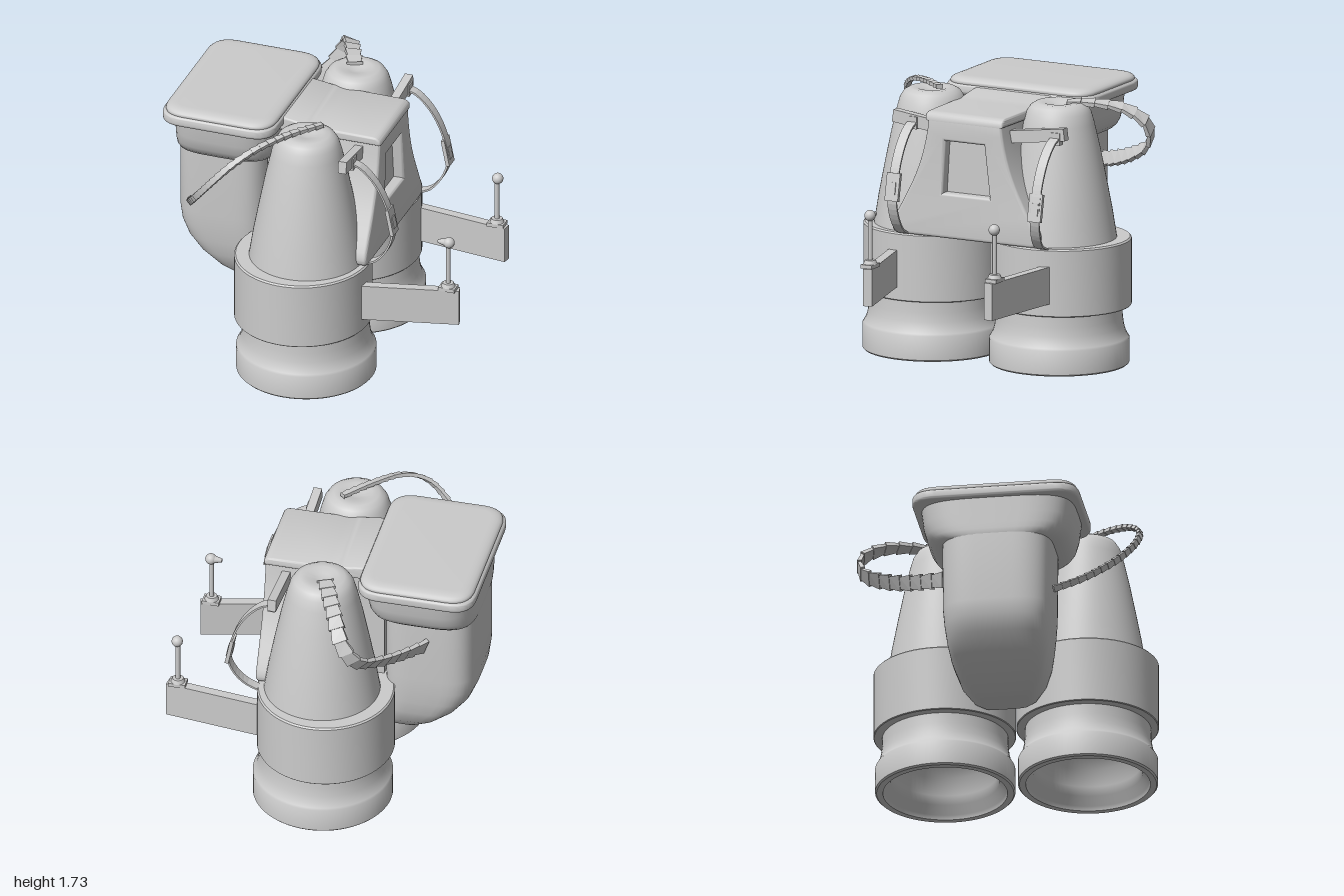
import * as THREE from 'three';
import { toCreasedNormals } from 'three/addons/utils/BufferGeometryUtils.js';

const grey = new THREE.MeshStandardMaterial({ color: 0xcccccc, side: THREE.DoubleSide });
const V = (a) => new THREE.Vector3(...a);

function add(parent, name, geo, pos = [0, 0, 0]) {
  const mesh = new THREE.Mesh(geo, grey);
  mesh.name = name;
  mesh.position.set(...pos);
  parent.add(mesh);
  return mesh;
}

const lathe = (pts, crease = 0.6) =>
  toCreasedNormals(new THREE.LatheGeometry(pts.map((p) => new THREE.Vector2(...p)), 64), crease);

// Extrusion whose final outline and depth (d0..d1) include the rounded bevel
function extrude(shape, d0, d1, bevel, bevelSize = bevel) {
  const geo = new THREE.ExtrudeGeometry(shape, {
    depth: d1 - d0 - 2 * bevel, bevelThickness: bevel, bevelSize,
    bevelOffset: -bevelSize, bevelSegments: 5, curveSegments: 12,
  });
  geo.translate(0, 0, d0 + bevel);
  return toCreasedNormals(geo, 0.7);
}

// Horizontal slab with rounded corners in plan
function slab(x0, x1, y0, y1, z0, z1, r, bevel, bevelSize) {
  const s = new THREE.Shape();
  s.moveTo(x0 + r, -z1);
  s.lineTo(x1 - r, -z1); s.quadraticCurveTo(x1, -z1, x1, -z1 + r);
  s.lineTo(x1, -z0 - r); s.quadraticCurveTo(x1, -z0, x1 - r, -z0);
  s.lineTo(x0 + r, -z0); s.quadraticCurveTo(x0, -z0, x0, -z0 - r);
  s.lineTo(x0, -z1 + r); s.quadraticCurveTo(x0, -z1, x0 + r, -z1);
  return extrude(s, y0, y1, bevel, bevelSize).rotateX(-Math.PI / 2);
}

// Rounded-rectangle sections [y, xMin, xMax, halfDepth] stacked upwards, closed at the bottom
function loft(sections, zMid, n = 56) {
  const pos = [];
  const index = [];
  const soft = (v) => Math.sign(v) * Math.sqrt(Math.abs(v));
  sections.forEach(([y, x0, x1, hz], i) => {
    for (let j = 0; j < n; j++) {
      const a = (j / n) * Math.PI * 2;
      pos.push((x0 + x1) / 2 + (x1 - x0) / 2 * soft(Math.cos(a)), y, zMid + hz * soft(Math.sin(a)));
      const k = (j + 1) % n;
      const [p, q] = [i * n + j, i * n + k];
      if (i < sections.length - 1) index.push(p, q + n, q, p, p + n, q + n);
      if (i === 0) index.push(sections.length * n, p, q);
    }
  });
  pos.push((sections[0][1] + sections[0][2]) / 2, sections[0][0], zMid);
  const geo = new THREE.BufferGeometry();
  geo.setAttribute('position', new THREE.Float32BufferAttribute(pos, 3));
  geo.setIndex(index);
  return toCreasedNormals(geo, 0.7);
}

// Flat band swept along a curve; the width direction turns from w0 to w1, ribs give a saw-tooth
function band(points, width, thick, w0, w1, ribs = 0) {
  const curve = new THREE.CatmullRomCurve3(points.map(V));
  const rings = [];
  const n = ribs || 24;
  for (let i = 0; i <= n; i++) {
    const t = i / n;
    const tan = curve.getTangentAt(t);
    const w = V(w0).lerp(V(w1), t);
    w.addScaledVector(tan, -w.dot(tan)).normalize();
    const up = new THREE.Vector3().crossVectors(tan, w);
    const c = curve.getPointAt(t);
    for (const k of ribs ? [1, 0.75] : [1]) {
      rings.push([[1, 1], [-1, 1], [-1, -1], [1, -1]].map(([a, b]) =>
        c.clone().addScaledVector(w, a * k * width / 2).addScaledVector(up, b * k * thick / 2)));
    }
  }
  const pos = [];
  const quad = (a, b, c, d) => [a, b, c, a, c, d].forEach((p) => pos.push(p.x, p.y, p.z));
  for (let i = 0; i < rings.length - 1; i++) {
    for (let j = 0; j < 4; j++) {
      const k = (j + 1) % 4;
      quad(rings[i][j], rings[i][k], rings[i + 1][k], rings[i + 1][j]);
    }
  }
  const [first, last] = [rings[0], rings[rings.length - 1]];
  quad(first[3], first[2], first[1], first[0]);
  quad(...last);
  const geo = new THREE.BufferGeometry();
  geo.setAttribute('position', new THREE.Float32BufferAttribute(pos, 3));
  geo.computeVertexNormals();
  return geo;
}

// Rocket: hollow nozzle, thick collar and tapered, dimpled cone
function thruster(z) {
  const g = new THREE.Group();
  g.name = 'thruster';
  g.position.set(-0.015, 0, z);
  add(g, 'nozzle', lathe([
    [0, 0.42], [0.15, 0.4], [0.25, 0.34], [0.31, 0.25], [0.335, 0.14], [0.345, 0.08], [0.39, 0.03], [0.395, 0],
    [0.435, 0], [0.445, 0.01], [0.445, 0.165], [0.437, 0.178], [0.422, 0.205], [0.41, 0.25], [0.402, 0.31], [0.4, 0.4],
  ]));
  add(g, 'collar', lathe([
    [0.38, 0.38], [0.448, 0.38], [0.453, 0.385], [0.453, 0.81], [0.443, 0.82], [0.34, 0.82],
  ]), [-0.02, 0, 0]).scale.x = 0.965;
  add(g, 'cone', lathe([
    [0.37, 0.81], [0.34, 1], [0.302, 1.2], [0.262, 1.4], [0.225, 1.56], [0.205, 1.63],
    [0.18, 1.67], [0.145, 1.69], [0.1, 1.69], [0.05, 1.675], [0, 1.665],
  ], 0.9), [0.005, 0, 0]);
  return g;
}

// Control arm with joystick, running from the collar to a free end
function controlArm(z0, z1, trigger) {
  const g = new THREE.Group();
  g.name = 'controlArm';
  const len = Math.hypot(0.62, z1 - z0);
  add(g, 'armPlate', new THREE.BoxGeometry(len, 0.24, 0.06), [0.68, 0.585, (z0 + z1) / 2])
    .rotation.y = -Math.atan2(z1 - z0, 0.62);
  const z = z0 + (z1 - z0) * 0.88;
  add(g, 'stickBase', new THREE.BoxGeometry(0.11, 0.025, 0.08), [0.92, 0.715, z]);
  add(g, 'stickCollar', new THREE.CylinderGeometry(0.035, 0.045, 0.025, 20), [0.92, 0.74, z]);
  add(g, 'stick', new THREE.CylinderGeometry(0.015, 0.015, 0.28, 16), [0.92, 0.88, z]);
  add(g, 'knob', new THREE.SphereGeometry(0.036, 24, 16), [0.925, 1.04, z]);
  if (trigger) {
    add(g, 'trigger', new THREE.CylinderGeometry(0.012, 0.028, 0.06, 12), [0.882, 1.04, z])
      .rotation.z = Math.PI / 2;
  }
  return g;
}

// Shoulder strap with crossbar, clip and buckle; s is +1 in front and -1 behind
function harness(s, z, zEnd, barZ) {
  const g = new THREE.Group();
  g.name = 'shoulderStrap';
  add(g, 'crossbar', new THREE.BoxGeometry(0.055, 0.08, 0.4), [0.27, 1.525, barZ]).rotation.x = -s * 0.13;
  add(g, 'clip', new THREE.BoxGeometry(0.05, 0.08, 0.07), [0.28, 1.52, z]);
  add(g, 'strap', band([
    [0.27, 1.53, z], [0.35, 1.5, z], [0.45, 1.4, z], [0.53, 1.24, z], [0.565, 1.06, z],
    [0.52, 0.93, (z + zEnd) / 2], [0.45, 0.85, zEnd], [0.38, 0.82, zEnd],
  ], 0.065, 0.012, [0, 0, 1], [0, 0, 1]));
  const buckle = new THREE.Group();
  buckle.name = 'buckle';
  buckle.position.set(0.552, 1.135 + s * 0.015, z);
  buckle.rotation.z = 0.2;
  add(buckle, 'bucklePlate', new THREE.BoxGeometry(0.024, 0.18, 0.095));
  add(buckle, 'buckleTongue', new THREE.BoxGeometry(0.036, 0.08, 0.05), [0, -0.01, 0]);
  g.add(buckle);
  return g;
}

export function createModel() {
  const model = new THREE.Group();
  model.name = 'jetpack';
  model.add(thruster(0.5), thruster(-0.415));

  // Fuel tank: narrow rounded belly under an overhanging head, with rim and padded lid
  add(model, 'tankBody', loft([
    [0.4, -0.53, -0.36, 0.15], [0.42, -0.59, -0.36, 0.2], [0.5, -0.71, -0.36, 0.27],
    [0.6, -0.83, -0.36, 0.31], [0.7, -0.91, -0.36, 0.33], [0.8, -0.952, -0.36, 0.342],
    [0.9, -0.965, -0.36, 0.35], [1.36, -0.965, -0.36, 0.355],
  ], 0.035));
  add(model, 'tankHead', loft([
    [1.345, -0.962, -0.31, 0.36], [1.36, -0.966, -0.3, 0.4], [1.39, -0.967, -0.28, 0.435],
    [1.43, -0.967, -0.265, 0.46], [1.5, -0.967, -0.255, 0.48], [1.63, -0.967, -0.25, 0.497],
  ], 0.035));
  add(model, 'tankRim', slab(-1, -0.235, 1.605, 1.672, -0.5, 0.57, 0.16, 0.02));
  add(model, 'tankLid', slab(-0.985, -0.245, 1.645, 1.713, -0.485, 0.555, 0.16, 0.033, 0.075));

  // Bridge between the cones with a top plate that sweeps up to the tank
  add(model, 'bridgeCore', new THREE.BoxGeometry(0.7, 0.8, 0.46), [-0.01, 1.21, 0.04]);
  const plate = new THREE.Shape();
  plate.moveTo(-0.35, 1.57);
  plate.lineTo(0.415, 1.575);
  plate.lineTo(0.415, 1.605);
  plate.quadraticCurveTo(0.4, 1.632, 0.36, 1.632);
  plate.lineTo(0, 1.635);
  plate.bezierCurveTo(-0.12, 1.64, -0.17, 1.665, -0.35, 1.67);
  add(model, 'bridgePlate', extrude(plate, -0.24, 0.32, 0.015));

  // Flared back panel with a recessed window
  const panel = new THREE.Shape();
  panel.moveTo(-0.52, 0.82);
  panel.lineTo(0.44, 0.82);
  panel.quadraticCurveTo(0.51, 0.83, 0.47, 0.92);
  panel.bezierCurveTo(0.37, 1.12, 0.26, 1.25, 0.22, 1.6);
  panel.lineTo(-0.3, 1.6);
  panel.bezierCurveTo(-0.34, 1.25, -0.45, 1.12, -0.55, 0.92);
  panel.quadraticCurveTo(-0.59, 0.83, -0.52, 0.82);
  const hole = new THREE.Path();
  [[-0.18, 1.45], [0.1, 1.45], [0.14, 1.11], [-0.2, 1.11]].forEach((p, i) =>
    (i ? hole.lineTo(...p) : hole.moveTo(...p)));
  hole.closePath();
  panel.holes.push(hole);
  add(model, 'backPanel', extrude(panel, 0.08, 0.41, 0.02).rotateY(Math.PI / 2));

  model.add(controlArm(0.57, 0.42, true), controlArm(-0.53, -0.45, false));
  model.add(harness(1, 0.475, 0.48, 0.42), harness(-1, -0.555, -0.52, -0.42));

  // Ribbed fuel hoses from the cone tips to the tank sides
  add(model, 'frontHose', band([
    [0.06, 1.715, 0.41], [-0.1, 1.71, 0.6], [-0.25, 1.67, 0.78], [-0.38, 1.58, 0.88],
    [-0.5, 1.45, 0.885], [-0.65, 1.26, 0.78], [-0.77, 1.09, 0.58], [-0.83, 1.0, 0.4],
  ], 0.045, 0.028, [1, 0, 0.8], [0.6, -0.8, 0], 28));
  add(model, 'rearHose', band([
    [-0.04, 1.685, -0.46], [-0.11, 1.685, -0.62], [-0.19, 1.65, -0.8], [-0.26, 1.55, -0.92],
    [-0.34, 1.41, -0.89], [-0.43, 1.31, -0.73], [-0.54, 1.24, -0.54], [-0.66, 1.19, -0.33],
  ], 0.105, 0.03, [1, 0, -0.2], [0.3, -0.9, 0], 16));
  return model;
}
